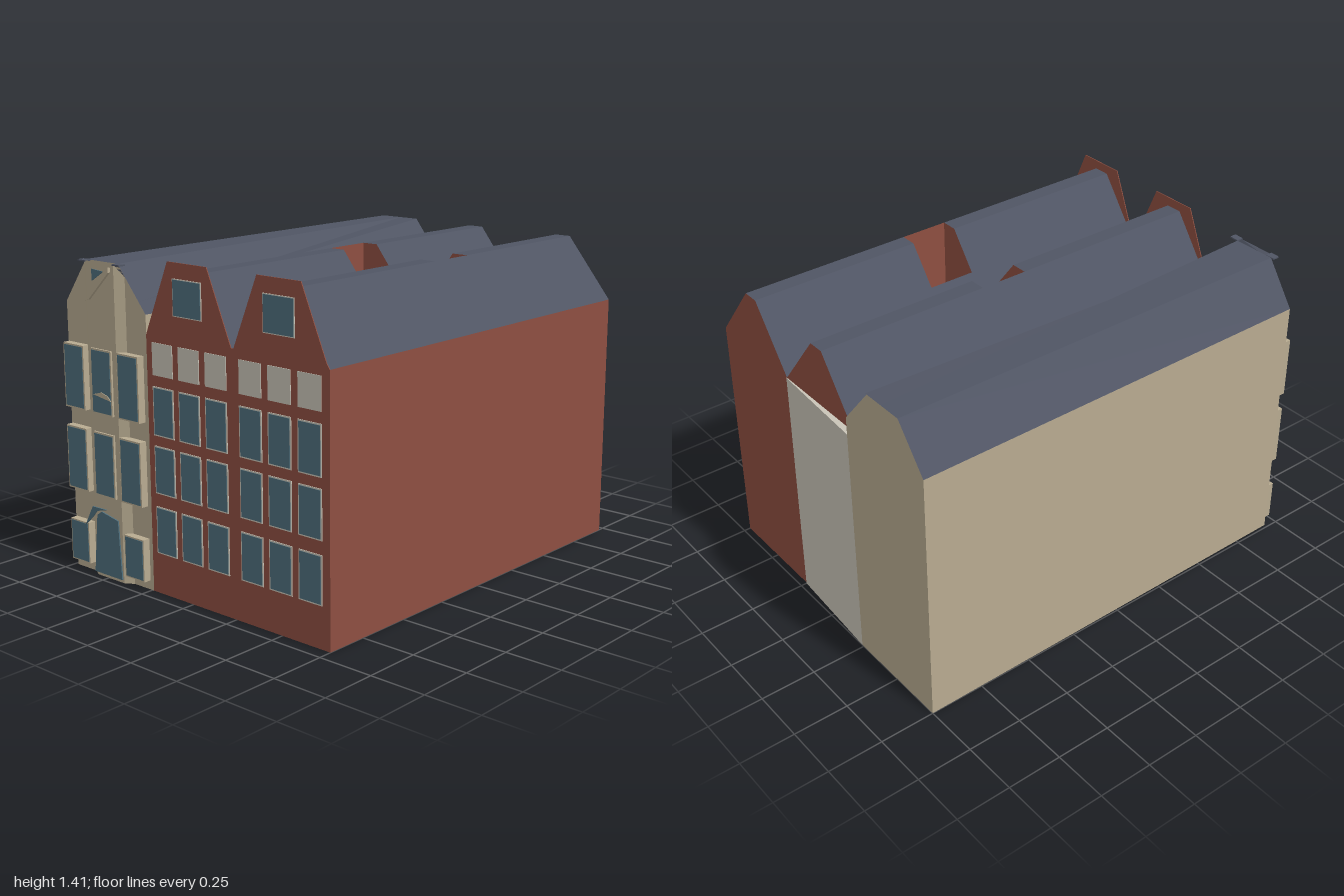
import * as THREE from 'three';

const mat = (name, color) => {
  const m = new THREE.MeshStandardMaterial({ color });
  m.name = name;
  return m;
};

export function createModel() {
  const root = new THREE.Group();
  const brick = mat('brick red', 0x8e4f41);
  const sand = mat('sandstone', 0xb8ab91);
  const slate = mat('roof slate', 0x50556400 >>> 8);
  const glass = mat('window blue', 0x4f6f7d);
  const cream = mat('cream trim', 0xcac5b8);

  // Flat faces: each is a convex loop of corners, counter-clockwise from outside
  const faces = (name, material, loops) => {
    const pos = [];
    for (const p of loops)
      for (let i = 1; i < p.length - 1; i++) pos.push(...p[0], ...p[i], ...p[i + 1]);
    const g = new THREE.BufferGeometry();
    g.setAttribute('position', new THREE.Float32BufferAttribute(pos, 3));
    g.computeVertexNormals();
    const m = new THREE.Mesh(g, material);
    m.name = name;
    root.add(m);
    return m;
  };
  // Box given by its limits
  const box = (name, material, x0, x1, y0, y1, z0, z1) => {
    const m = new THREE.Mesh(new THREE.BoxGeometry(x1 - x0, y1 - y0, z1 - z0), material);
    m.position.set((x0 + x1) / 2, (y0 + y1) / 2, (z0 + z1) / 2);
    m.name = name;
    root.add(m);
  };
  // Upright plate cut from an outline
  const plate = (name, material, pts, z, depth) => {
    const shape = new THREE.Shape(pts.map(([x, y]) => new THREE.Vector2(x, y)));
    const m = new THREE.Mesh(new THREE.ExtrudeGeometry(shape, { depth, bevelEnabled: false }), material);
    m.position.z = z;
    m.name = name;
    root.add(m);
  };
  const pane = (name, frame, x0, x1, y0, y1, back, front, rim) => {
    box(name + 'Frame', frame, x0 - rim, x1 + rim, y0 - rim, y1 + rim, back, front);
    box(name + 'Glass', glass, x0, x1, y0, y1, front - 0.002, front + 0.002);
  };

  const F = 0.94, B = -0.97, EAVE = 1.1, RIDGE = 1.37;

  // ---- Red double house ----
  const roofLine = [[-0.24, EAVE], [-0.04, RIDGE], [0.035, RIDGE], [0.17, 1.2], [0.25, EAVE],
    [0.33, 1.205], [0.455, RIDGE], [0.53, RIDGE], [0.75, EAVE]];
  const HZ0 = -0.18, HZ1 = 0.04;
  const shafts = [[1, 3], [5, 7]]; // index ranges in roofLine open to the sky

  const roof = [];
  for (let i = 0; i < roofLine.length - 1; i++) {
    const [a, b] = [roofLine[i], roofLine[i + 1]];
    const open = shafts.some(([s, e]) => i >= s && i < e);
    for (const [zb, zf] of open ? [[B, HZ0], [HZ1, F]] : [[B, F]])
      roof.push([[...a, zf], [...b, zf], [...b, zb], [...a, zb]]);
  }
  faces('redHouseRoof', slate, roof);

  const half = (pts) => {
    const loop = [[pts[0][0], 0], [pts.at(-1)[0], 0], ...[...pts].reverse()];
    return loop.reverse().map(([x, y]) => [x, y, B]);
  };
  faces('redHouseBackWall', brick, [half(roofLine.slice(0, 5)), half(roofLine.slice(4))]);
  faces('redHouseSideWall', brick, [[[0.75, 0, F], [0.75, 0, B], [0.75, EAVE, B], [0.75, EAVE, F]]]);

  plate('redHouseFacade', brick, [[-0.24, 0], [0.75, 0], [0.75, 1.1], [0.735, 1.12], [0.61, 1.41],
    [0.385, 1.41], [0.257, 1.11], [0.243, 1.11], [0.115, 1.41], [-0.105, 1.41], [-0.24, 1.1]], F - 0.004, 0.004);

  // Floor with the two shaft openings, facing down
  const floor = new THREE.Shape([[-0.24, B], [0.75, B], [0.75, F], [-0.24, F]].map((p) => new THREE.Vector2(...p)));
  for (const [s, e] of shafts) {
    const x0 = roofLine[s][0], x1 = roofLine[e][0];
    floor.holes.push(new THREE.Path([[x0, HZ0], [x0, HZ1], [x1, HZ1], [x1, HZ0]].map((p) => new THREE.Vector2(...p))));
  }
  const floorMesh = new THREE.Mesh(new THREE.ShapeGeometry(floor), brick);
  floorMesh.rotation.x = Math.PI / 2;
  floorMesh.name = 'redHouseFloor';
  root.add(floorMesh);

  // Light shafts
  for (const [s, e] of shafts) {
    const [x0, h0] = roofLine[s], [x1, h1] = roofLine[e];
    const end = [[x0, 0], [x1, 0], ...roofLine.slice(s, e + 1).reverse()];
    faces('shaftWalls', brick, [
      [[x0, 0, HZ1], [x0, 0, HZ0], [x0, h0, HZ0], [x0, h0, HZ1]],
      [[x1, 0, HZ0], [x1, 0, HZ1], [x1, h1, HZ1], [x1, h1, HZ0]],
      end.map((p) => [...p, HZ0]),
      [...end].reverse().map((p) => [...p, HZ1]),
    ]);
    faces('shaftSlope', brick, [[[x0, 0.9, HZ0], [x0, 0.01, HZ1], [x1, 0.01, HZ0]]]);
    faces('shaftGlass', glass, [[[x1, 0.01, HZ0], [x0, 0.01, HZ1], [x1, 0.01, HZ1]]]);
  }

  // Slanted pale wall across the back
  faces('paleBackWall', cream, [
    [[0.25, 0, -0.973], [-0.24, 0, -1], [-0.24, EAVE, -1], [0.25, EAVE, -0.973]],
    [[-0.24, EAVE, -1], [-0.24, EAVE, B], [0.25, EAVE, B], [0.25, EAVE, -0.973]],
    [[0.25, 0, B], [-0.24, 0, B], [-0.24, 0, -1], [0.25, 0, -0.973]],
  ]);

  // Red house windows and pale panels
  for (const x of [-0.147, 0.005, 0.157, 0.344, 0.497, 0.651]) {
    for (const [y0, y1] of [[0.183, 0.375], [0.443, 0.635], [0.69, 0.885]])
      pane('window', cream, x - 0.054, x + 0.054, y0, y1, F - 0.002, F + 0.003, 0.006);
    box('palePanel', cream, x - 0.059, x + 0.059, 0.937, 1.073, F - 0.002, F + 0.003);
  }
  for (const x of [0.005, 0.498]) pane('gableWindow', cream, x - 0.077, x + 0.077, 1.198, 1.342, F - 0.002, F + 0.003, 0.004);

  // ---- Sandstone house ----
  const R = -0.24, LB = -0.75, LF = -0.735, ZB = -1, TE = 1.18;
  const gable = (l) => [[l, 0], [R, 0], [R, TE], [-0.4, RIDGE], [-0.6, RIDGE], [l, TE]];
  faces('sandstoneWalls', sand, [
    gable(LF).map((p) => [...p, F]),
    gable(LB).reverse().map((p) => [...p, ZB]),
    [[LB, 0, ZB], [LF, 0, F], [LF, TE, F], [LB, TE, ZB]],
    [[R, 0, F], [R, 0, ZB], [R, TE, ZB], [R, TE, F]],
    [[LB, 0, ZB], [R, 0, ZB], [R, 0, F], [LF, 0, F]],
  ]);
  // Roof with a twisted fold running along the ridge
  const foldB = [-0.49, RIDGE, ZB], edgeB = [-0.39, RIDGE, ZB];
  const edgeF = [-0.4, RIDGE, F], foldF = [-0.28, 1.2275, F];
  faces('sandstoneRoof', slate, [
    [[LF, TE, F], [-0.6, RIDGE, F], [-0.6, RIDGE, ZB], [LB, TE, ZB]],
    [[-0.6, RIDGE, F], edgeF, foldB, [-0.6, RIDGE, ZB]],
    [edgeF, foldF, foldB],
    [foldF, edgeB, foldB],
    [foldF, [R, TE, F], [R, TE, ZB], edgeB],
  ]);

  // Projecting centre bay with splayed sides
  const P = 0.965;
  faces('centreBay', sand, [
    [[-0.61, 0, F], [-0.57, 0, P], [-0.57, RIDGE, P], [-0.61, 1.355, F]],
    [[-0.57, 0, P], [-0.4, 0, P], [-0.4, RIDGE, P], [-0.57, RIDGE, P]],
    [[-0.4, 0, P], [-0.36, 0, F], [-0.36, 1.32, F], [-0.4, RIDGE, P]],
    [[-0.61, 0, F], [-0.36, 0, F], [-0.4, 0, P], [-0.57, 0, P]],
  ]);
  faces('bayTop', slate, [[[-0.61, 1.355, F], [-0.57, RIDGE, P], [-0.4, RIDGE, P], [-0.36, 1.32, F], [-0.4, RIDGE, F], [-0.6, RIDGE, F]]]);
  for (const x of [-0.592, -0.378]) box('bayCap', slate, x - 0.022, x + 0.022, 1.366, 1.372, F, 0.972);

  // Sandstone house windows on projecting surrounds
  for (const x of [-0.665, -0.49, -0.325])
    for (const [y0, y1] of [[0.735, 1.0], [0.375, 0.64]])
      pane('bayWindow', sand, x - 0.057, x + 0.057, y0, y1, F, 0.974, 0.007);
  for (const x of [-0.669, -0.319]) pane('lowWindow', sand, x - 0.053, x + 0.053, 0.047, 0.22, F, 0.974, 0.006);

  // Doorway with a broken canopy, gable light, slanted beam and loose chip
  plate('door', glass, [[-0.58, 0.015], [-0.405, 0.015], [-0.42, 0.275], [-0.525, 0.295], [-0.553, 0.275]], 0.966, 0.006);
  plate('doorCanopy', glass, [[-0.6, 0.23], [-0.553, 0.272], [-0.525, 0.305], [-0.46, 0.322], [-0.55, 0.32]], 0.992, 0.006);
  plate('gableLight', glass, [[-0.533, 1.29], [-0.46, 1.335], [-0.533, 1.34]], P, 0.004);
  plate('gableBeam', sand, [[-0.57, 1.205], [-0.55, 1.21], [-0.42, 1.335], [-0.42, 1.357], [-0.435, 1.355]], P, 0.012);
  plate('stoneChip', sand, [[-0.54, 0.81], [-0.43, 0.795], [-0.45, 0.815], [-0.49, 0.825]], 0.975, 0.004);

  return root;
}
